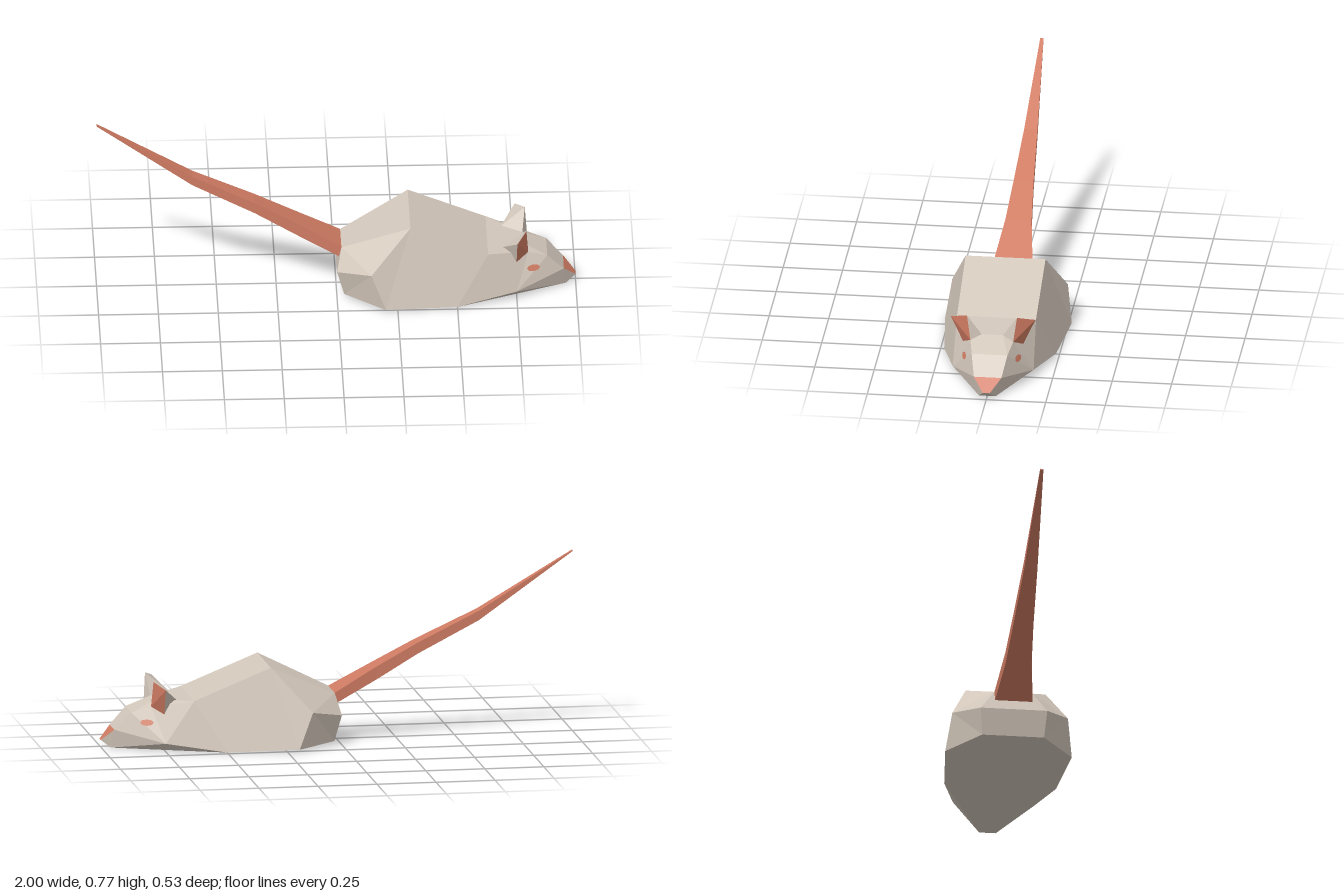
import * as THREE from 'three';

const fur = new THREE.MeshStandardMaterial({ name: 'fur', color: 0xd3c7bb, flatShading: true });
const skin = new THREE.MeshStandardMaterial({ name: 'pinkSkin', color: 0xd07c63, flatShading: true });

// Body landmarks on the left (+z) flank; a leading "-" in a face mirrors the point.
const P = {
  T0: [0.02, 0.21, 0.08], T1: [0.305, 0.343, 0.168], T2: [0.63, 0.212, 0.166], // back ridge
  T3: [0.78, 0.2, 0.045], T4: [0.88, 0.153, 0.075], C: [0.8, 0.18, 0.09],      // crown, brow
  N: [0.95, 0.08, 0.058], M: [1, 0.03, 0.015], J: [0.96, 0, 0.035],            // nose, jaw
  S0: [0, 0.125, 0.14], S1: [0.14, 0.16, 0.243],                               // rump side
  B0: [0.03, 0.015, 0.13], B1: [0.2, 0.01, 0.266], B2: [0.5, 0.002, 0.235], B3: [0.75, 0.035, 0.17],
  // ear corners and the roots behind it
  EA: [0.752, 0.264, 0.178], EB: [0.792, 0.287, 0.105], ED: [0.75, 0.15, 0.126], ER: [0.69, 0.203, 0.09],
};
const point = (key) => key[0] === '-'
  ? new THREE.Vector3(...P[key.slice(1)]).multiply(new THREE.Vector3(1, 1, -1))
  : new THREE.Vector3(...P[key]);
const face = (text) => text.split(' ').map(point);
const mirrorFace = (poly) => poly.map((v) => new THREE.Vector3(v.x, v.y, -v.z));

// Flat polygons, fanned into triangles that face away from a centre.
function faceted(name, polys, material, centre) {
  const pos = [];
  for (const poly of polys) {
    for (let i = 1; i < poly.length - 1; i++) {
      const tri = new THREE.Triangle(poly[0], poly[i], poly[i + 1]);
      const n = tri.getNormal(new THREE.Vector3());
      const out = tri.getMidpoint(new THREE.Vector3()).sub(centre);
      const order = n.dot(out) < 0 ? [tri.a, tri.c, tri.b] : [tri.a, tri.b, tri.c];
      order.forEach((v) => pos.push(v.x, v.y, v.z));
    }
  }
  const geo = new THREE.BufferGeometry();
  geo.setAttribute('position', new THREE.Float32BufferAttribute(pos, 3));
  geo.computeVertexNormals();
  const mesh = new THREE.Mesh(geo, material);
  mesh.name = name;
  return mesh;
}

function createTail() {
  // x, top y, bottom y, half width
  const stations = [
    [0.02, 0.21, 0.162, 0.08], [-0.16, 0.31, 0.255, 0.055], [-0.34, 0.405, 0.358, 0.042],
    [-0.6, 0.528, 0.488, 0.028], [-1, 0.769, 0.764, 0.007],
  ];
  const rings = stations.map(([x, top, low, w]) =>
    [[top, w], [top, -w], [low, -w], [low, w]].map(([y, z]) => new THREE.Vector3(x, y, z)));
  const tail = new THREE.Group();
  tail.name = 'tail';
  for (let i = 0; i < rings.length - 1; i++) {
    const [a, b] = [rings[i], rings[i + 1]];
    const centre = [...a, ...b].reduce((s, v) => s.add(v), new THREE.Vector3()).divideScalar(8);
    const polys = a.map((v, k) => [v, a[(k + 1) % 4], b[(k + 1) % 4], b[k]]);
    if (i === 0) polys.push(a);
    if (i === rings.length - 2) polys.push(b);
    tail.add(faceted('tailSegment', polys, skin, centre));
  }
  return tail;
}

export function createModel() {
  const model = new THREE.Group();
  model.name = 'mouse';
  const core = new THREE.Vector3(0.4, 0.1, 0);

  // Body: faces crossing the centre line, then flank faces and their mirror
  const middle = ['T0 T1 -T1 -T0', 'T1 T2 -T2 -T1', 'T2 T3 -T3 -T2', 'T3 T4 -T4 -T3', 'T4 N -N -T4',
    'M J -J -M', 'J B2 -B2 -J', 'B2 B1 -B1 -B2', 'B1 B0 -B0 -B1', 'T0 S0 -S0 -T0', 'S0 B0 -B0 -S0'].map(face);
  const flank = ['T0 S0 S1 T1', 'S1 S0 B0 B1', 'T1 S1 B1', 'T1 B1 B2', 'T1 B2 T2', 'T2 B2 B3', 'T2 B3 C',
    'T2 C T3', 'T3 C T4', 'C B3 T4', 'T4 B3 N', 'N B3 J', 'N J M', 'J B3 B2'].map(face);
  model.add(faceted('body', [...middle, ...flank, ...flank.map(mirrorFace)], fur, core));
  model.add(faceted('nose', [face('N M -M -N')], skin, core));
  model.add(createTail());

  // Ears: furry back wedge and bare inner face
  const back = ['EA ER EB', 'EB ER T3', 'EB T3 C', 'EA ED ER'].map(face);
  const inner = [face('EA EB C ED')];
  const cheek = new THREE.Triangle(...face('C B3 T4'));
  const cheekNormal = cheek.getNormal(new THREE.Vector3());
  if (cheekNormal.z < 0) cheekNormal.negate();
  for (const side of [1, -1]) {
    const label = side > 0 ? 'left' : 'right';
    const flip = (polys) => (side > 0 ? polys : polys.map(mirrorFace));
    const earCentre = new THREE.Vector3(0.755, 0.21, 0.11 * side);
    model.add(faceted(label + 'EarBack', flip(back), fur, earCentre));
    model.add(faceted(label + 'EarInner', flip(inner), skin, earCentre));

    // Eye: thin plate lying on the cheek facet
    const normal = cheekNormal.clone();
    const spot = new THREE.Vector3(0.82, 0.115, 0.11);
    spot.addScaledVector(normal, 0.003 - normal.dot(spot.clone().sub(cheek.a)));
    spot.z *= side;
    normal.z *= side;
    const eye = new THREE.Mesh(new THREE.CircleGeometry(1, 8).scale(0.029, 0.014, 1), skin);
    eye.name = label + 'Eye';
    eye.position.copy(spot);
    eye.lookAt(spot.clone().add(normal));
    model.add(eye);
  }
  return model;
}
